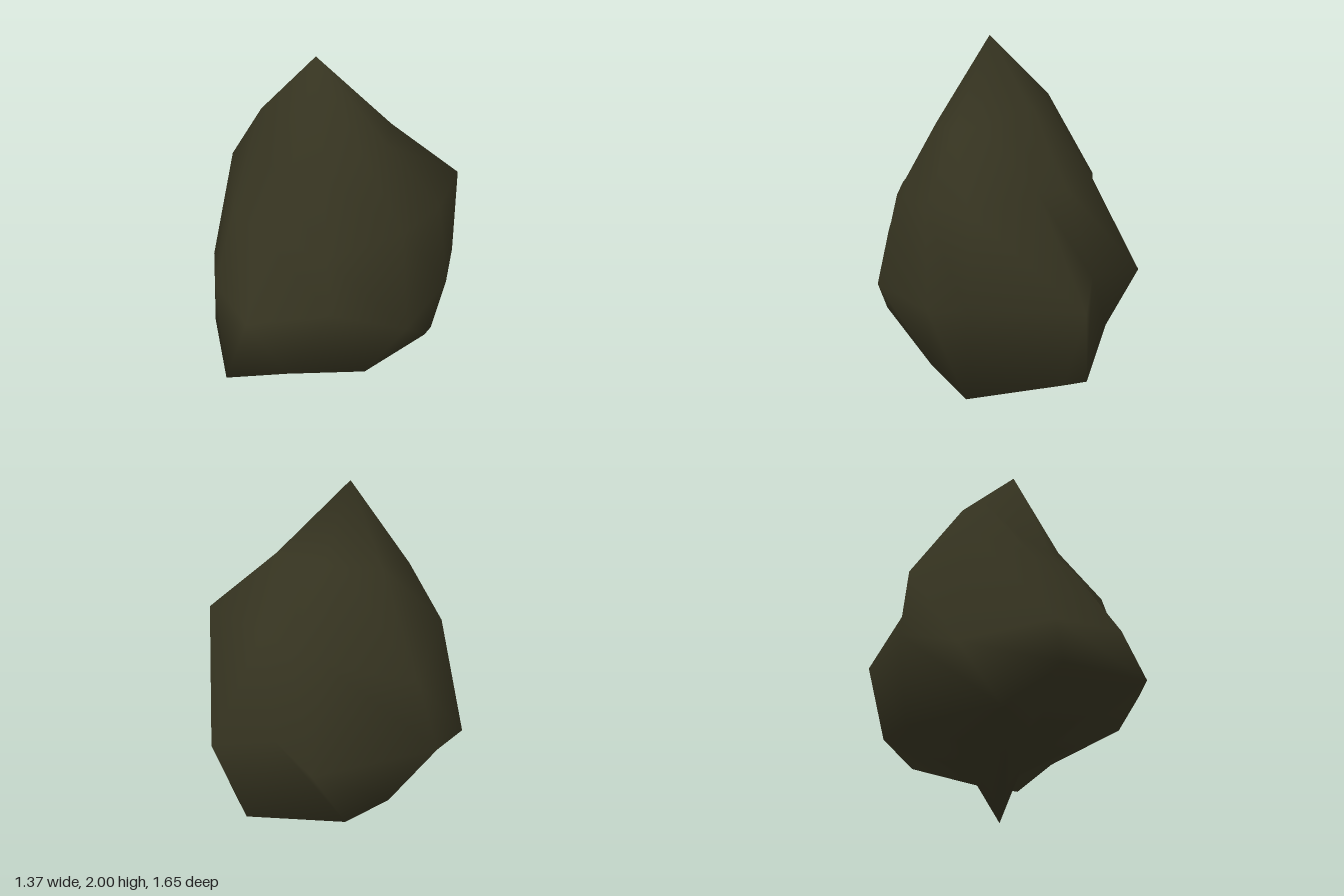
import * as THREE from 'three';
import { mergeVertices } from 'three/addons/utils/BufferGeometryUtils.js';

const APEX = [0, 2, 0.09];
const TIP = [0, 0, -0.04];

// Each rib runs from just under the apex to the lower rim, front first, turning towards +x.
const RIBS = [
  [[0.06, 1.39, 0.33], [0.06, 1.21, 0.49], [0.18, 0.82, 0.69], [0.17, 0.52, 0.83]],
  [[0.22, 1.5, 0.22], [0.4, 1.2, 0.36], [0.49, 0.92, 0.39], [0.375, 0.56, 0.595]],
  [[0.32, 1.6, 0.06], [0.56, 1.28, 0.02], [0.68, 0.78, 0.07], [0.58, 0.51, 0.25]],
  [[0.3, 1.6, -0.1], [0.53, 1.3, -0.26], [0.57, 0.8, -0.33], [0.53, 0.42, -0.25]],
  [[0.21, 1.64, -0.21], [0.42, 1.35, -0.5], [0.44, 0.85, -0.51], [0.42, 0.28, -0.43]],
  [[0, 1.67, -0.18], [0.03, 1.35, -0.45], [-0.02, 0.87, -0.82], [0, 0.39, -0.69]],
  // Hollow where the two back leaves meet
  [[-0.1, 1.68, -0.16], [-0.15, 1.33, -0.42], [-0.22, 0.9, -0.58], [-0.12, 0.39, -0.72]],
  [[-0.2, 1.69, -0.13], [-0.34, 1.33, -0.37], [-0.51, 0.87, -0.58], [-0.5, 0.41, -0.36]],
  [[-0.31, 1.68, 0.02], [-0.61, 1.19, 0], [-0.69, 0.78, 0.09], [-0.53, 0.41, -0.08]],
  [[-0.31, 1.65, 0.2], [-0.46, 1.36, 0.3], [-0.58, 0.66, 0.42], [-0.37, 0.38, 0.48]],
  [[-0.12, 1.45, 0.29], [-0.2, 1.21, 0.48], [-0.19, 0.8, 0.64], [-0.18, 0.57, 0.67]],
];

// Extend a rib under the bud to a narrow neck, then to the pointed stalk
function fullRib(rib) {
  const [x, , z] = rib[3];
  const neckZ = 0.01 + z * 0.24;
  return [APEX, ...rib, [x * 0.14 - 0.035, 0.25 + neckZ * 0.3, neckZ], TIP];
}

// Closed smooth surface around the ribs
function loftAround(ribs) {
  const rows = ribs[0].length;
  const index = [];
  for (let i = 0; i < ribs.length; i++) {
    for (let j = 0; j < rows - 1; j++) {
      const a = i * rows + j, b = ((i + 1) % ribs.length) * rows + j;
      if (j < rows - 2) index.push(a, a + 1, b + 1);
      else index.push(a, a + 1, b);
      if (j > 0 && j < rows - 2) index.push(a, b + 1, b);
    }
  }
  const raw = new THREE.BufferGeometry();
  raw.setAttribute('position', new THREE.Float32BufferAttribute(ribs.flat(2), 3));
  raw.setIndex(index);
  const geometry = mergeVertices(raw);
  geometry.computeVertexNormals();
  return geometry;
}

export function createModel() {
  const group = new THREE.Group();
  group.name = 'bud';
  const olive = new THREE.MeshStandardMaterial({ color: 0x353320, side: THREE.DoubleSide });
  olive.name = 'dark olive';

  const bud = new THREE.Mesh(loftAround(RIBS.map(fullRib)), olive);
  bud.name = 'cuppedLeaves';
  group.add(bud);
  return group;
}
